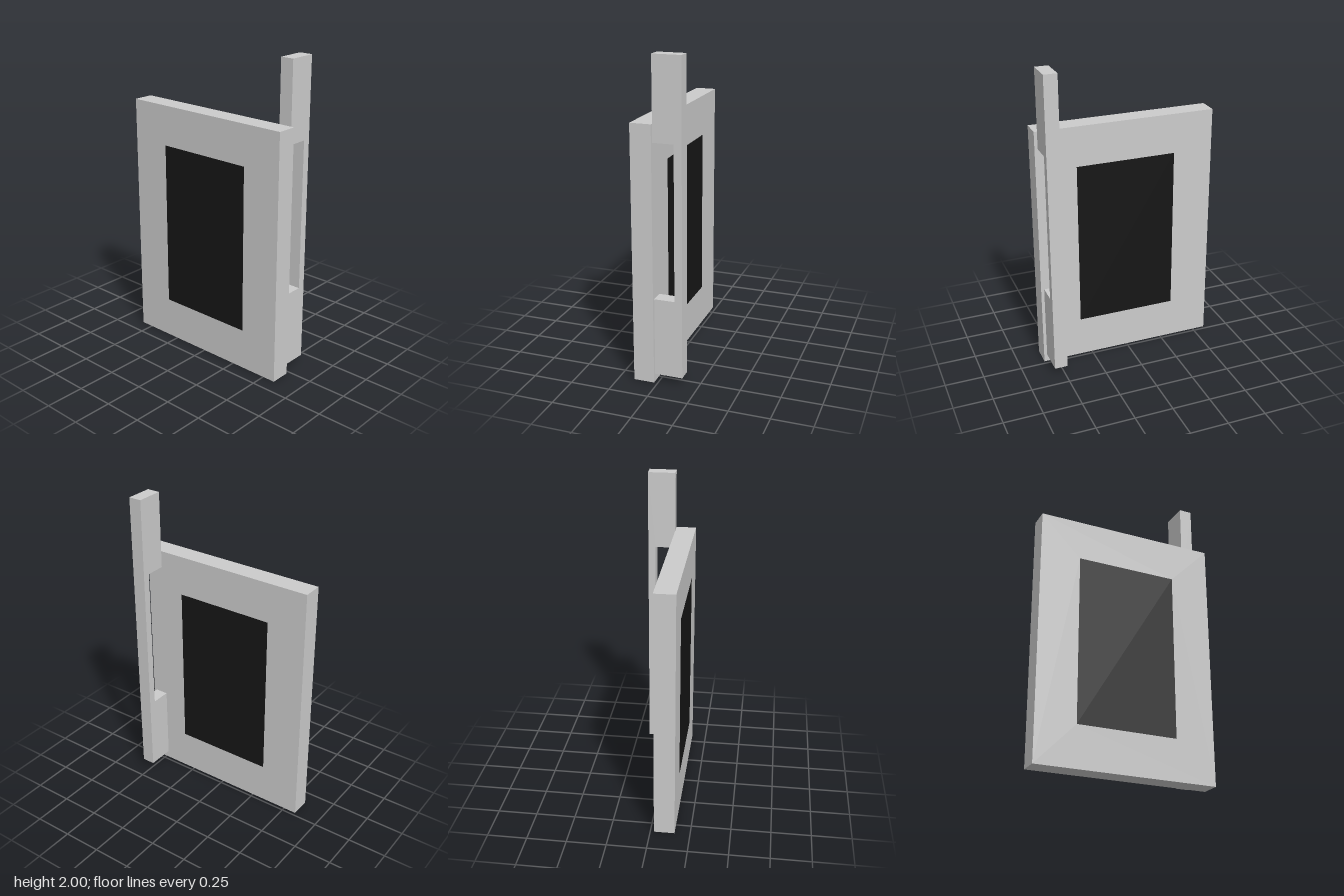
import * as THREE from 'three';

const grey = new THREE.MeshStandardMaterial({ color: 0xcccccc, flatShading: true });
const dark = new THREE.MeshStandardMaterial({ color: 0x161616, flatShading: true });

function addMesh(parent, name, geometry, material) {
  const mesh = new THREE.Mesh(geometry, material);
  mesh.name = name;
  parent.add(mesh);
  return mesh;
}

function polygon(points, Type = THREE.Shape) {
  return new Type(points.map(([x, y]) => new THREE.Vector2(x, y)));
}

export function createModel() {
  const group = new THREE.Group();
  group.name = 'doorWithHandle';

  const left = -0.153, face = -0.023, right = 0.153;
  const height = 1.61, halfWidth = 0.585;
  const paneBottom = 0.265, paneTop = 1.35, paneHalf = 0.325;
  const thickness = face - left;

  // Door frame: a slab with a rectangular opening, turned to face sideways
  const slab = polygon([[-halfWidth, 0], [halfWidth, 0], [halfWidth, height], [-halfWidth, height]]);
  slab.holes.push(polygon([
    [-paneHalf, paneBottom], [-paneHalf, paneTop], [paneHalf, paneTop], [paneHalf, paneBottom],
  ], THREE.Path));
  const frameGeometry = new THREE.ExtrudeGeometry(slab, { depth: thickness, bevelEnabled: false });
  frameGeometry.rotateY(Math.PI / 2);
  addMesh(group, 'doorFrame', frameGeometry, grey).position.x = left;

  // Dark pane, flush with both faces of the frame
  const pane = addMesh(group, 'windowPane',
    new THREE.BoxGeometry(thickness, paneTop - paneBottom, 2 * paneHalf), dark);
  pane.position.set((left + face) / 2, (paneBottom + paneTop) / 2, 0);

  // Handle: upright bar cut away on the door side to leave a grip
  const gripX = 0.105, gripBottom = 0.545, gripTop = 1.5;
  const profile = polygon([
    [face, 0.05], [right, 0.05], [right, 2], [face, 2],
    [face, gripTop], [gripX, gripTop], [gripX, gripBottom], [face, gripBottom],
  ]);
  const handleGeometry = new THREE.ExtrudeGeometry(profile, { depth: 0.085, bevelEnabled: false });
  addMesh(group, 'handle', handleGeometry, grey).position.z = 0.48;

  return group;
}
